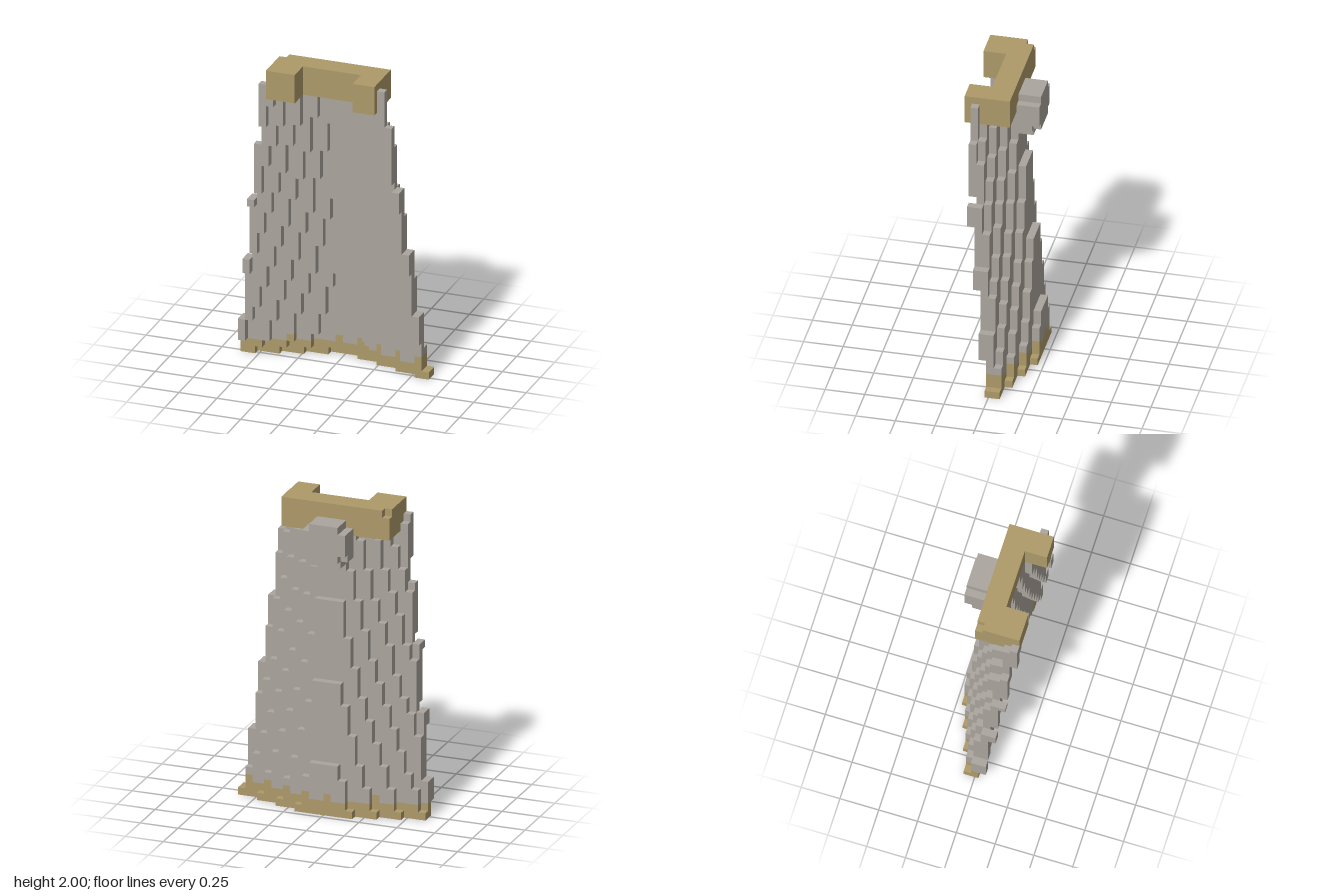
import * as THREE from 'three';

const V = 1 / 21; // edge of one block; the grid is 26 x 42 x 9

// Height of each hem column, counted outward from the middle
const TOP_LEFT = { 7: 41, 8: 36, 9: 27, 10: 18, 11: 9, 12: 1 };
const TOP_RIGHT = { 8: 40, 9: 31, 10: 23, 11: 14, 12: 5 };
// Columns where the gold trim rises one block
const STUDS = [-7, -1, 2, 5, 8, 11];

export function createModel() {
  const trim = new THREE.MeshStandardMaterial({ color: 0xad9a69 });
  trim.name = 'gold trim';
  const cloth = new THREE.MeshStandardMaterial({ color: 0xaaa59d });
  cloth.name = 'grey cloth';

  const blocks = new Map();
  const fill = (x, y, z, part) => blocks.set(`${x},${y},${z}`, { p: [x, y, z], part });
  const fillBox = (x0, x1, y0, y1, z0, z1, part) => {
    for (let x = x0; x < x1; x++)
      for (let y = y0; y < y1; y++)
        for (let z = z0; z < z1; z++) fill(x, y, z, part);
  };

  // Draped cloth: a stepped sheet leaning back, wrapping forward at its sides
  for (let x = -13; x < 13; x++) {
    const c = x < 0 ? -x - 1 : x;
    const top = (x < 0 ? TOP_RIGHT : TOP_LEFT)[c] ?? 38;
    for (let y = 0; y < top; y++) {
      const h = y + 0.5;
      const lean = h / 11;
      const u = ((c + 0.5) * 13) / (13 - 0.133 * h);
      const back = Math.floor(lean + Math.max(u, 1.9) / 3 - 0.3);
      const front = 1 + Math.floor(lean + Math.max(u, 0.95) / 3 + (y ? 0.55 : 0.25));
      const z1 = Math.min(front, x < 0 ? 9 : 8);
      const z0 = Math.min(back, z1 - 1);
      const gold = y < 2 || (y === 2 && STUDS.includes(x));
      for (let z = z0; z < z1; z++) fill(x, y, z, gold ? 'hemTrim' : 'drapedCloth');
    }
  }

  // Rounded knot at the back of the neck
  for (let z = 0; z < 3; z++)
    for (let x = -3; x < 3; x++)
      for (let y = z ? 34 : 35; y < 40; y++) {
        const r = Math.hypot(x + 0.5, y + 0.5 - (z ? 37 : 37.5));
        if (r < (z ? 3 : 2.7)) fill(x, y, z, 'backKnot');
      }

  // Collar: a bar behind the neck with an arm over each shoulder
  fillBox(-8, 7, 38, 42, 3, 6, 'collar');
  fillBox(-8, -4, 38, 42, 6, 9, 'collar');
  fillBox(4, 7, 38, 42, 6, 9, 'collar');
  blocks.delete('-8,41,3');

  // Keep only the outer faces of the blocks
  const partMesh = (part, material) => {
    const pos = [], idx = [];
    for (const { p, part: owner } of blocks.values()) {
      if (owner !== part) continue;
      for (let a = 0; a < 3; a++)
        for (const s of [-1, 1]) {
          const next = [...p];
          next[a] += s;
          if (blocks.has(next.join())) continue;
          const n = pos.length / 3;
          for (const [i, j] of [[0, 0], [1, 0], [1, 1], [0, 1]]) {
            const q = [...p];
            if (s > 0) q[a] += 1;
            q[(a + 1) % 3] += i;
            q[(a + 2) % 3] += j;
            pos.push(q[0] * V, q[1] * V, (q[2] - 4.5) * V);
          }
          if (s > 0) idx.push(n, n + 1, n + 2, n, n + 2, n + 3);
          else idx.push(n, n + 2, n + 1, n, n + 3, n + 2);
        }
    }
    const geo = new THREE.BufferGeometry();
    geo.setAttribute('position', new THREE.Float32BufferAttribute(pos, 3));
    geo.setIndex(idx);
    geo.computeVertexNormals();
    const mesh = new THREE.Mesh(geo, material);
    mesh.name = part;
    return mesh;
  };

  const group = new THREE.Group();
  group.name = 'cape';
  group.add(
    partMesh('drapedCloth', cloth),
    partMesh('backKnot', cloth),
    partMesh('hemTrim', trim),
    partMesh('collar', trim),
  );
  return group;
}
